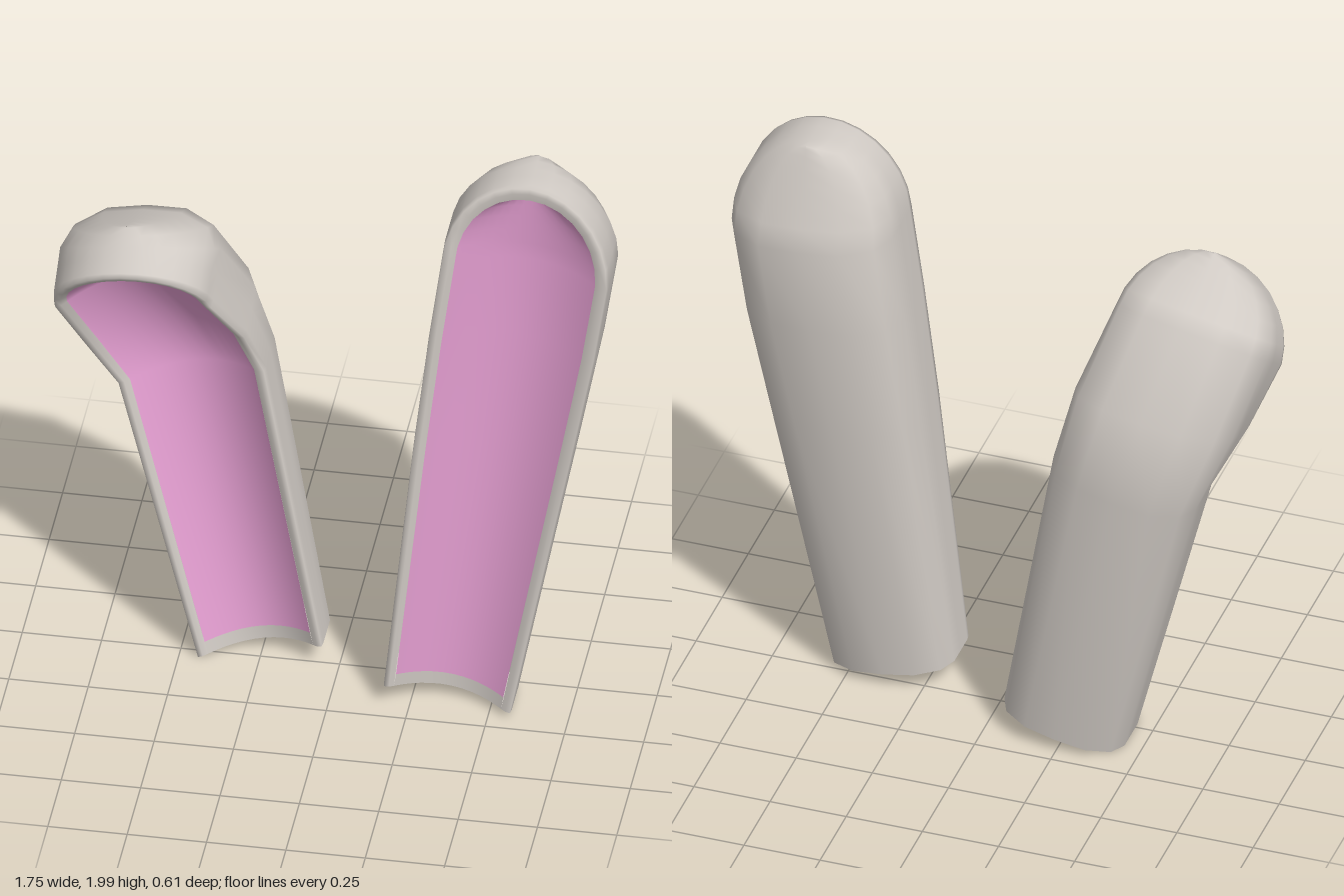
import * as THREE from 'three';
import { mergeVertices } from 'three/addons/utils/BufferGeometryUtils.js';

const V = (x, y, z) => new THREE.Vector3(x, y, z);
const fur = new THREE.MeshStandardMaterial({ color: 0xd0cac4, side: THREE.DoubleSide });
const pink = new THREE.MeshStandardMaterial({ color: 0xe59fd2, side: THREE.DoubleSide });

// Outer cross-section: [across, depth, inset at the tip], rim to back to rim
const half = [[0.84, 0.05, 1], [0.91, 0.01, 0.5], [0.985, 0, 0.1], [1, 0.08, 0], [1, 0.35, 0],
  [1, 0.58, 0], [0.87, 0.81, 0], [0.5, 0.97, 0]];
const shellProfile = [...half, [0, 1, 0], ...half.slice().reverse().map(([s, t, k]) => [-s, t, k])];

// Shallow concave inner cross-section with the same number of points
const n = shellProfile.length;
const floorProfile = Array.from({ length: n }, (_, i) => {
  const a = Math.PI * i / (n - 1);
  return [-0.84 * Math.cos(a), 0.05 + 0.26 * Math.sin(a) ** 2, 1];
});

// Smooth surface through rows of points, welded where the tip closes
function loft(rows) {
  const m = rows[0].length, index = [];
  for (let i = 0; i < rows.length - 1; i++) {
    for (let j = 0; j < m - 1; j++) {
      const a = i * m + j, b = a + 1, c = a + m, d = c + 1;
      index.push(a, b, c, b, d, c);
    }
  }
  const flat = new THREE.BufferGeometry().setFromPoints(rows.flat());
  flat.setIndex(index);
  const geo = mergeVertices(flat);
  geo.computeVertexNormals();
  return geo;
}

// sections: [right rim point, left rim point, vector to the back]; tip: rise vector and its back vector
function makeEar(name, sections, rise, tipBack) {
  const rows = sections.map(([r, l, back]) => ({
    c: r.clone().add(l).multiplyScalar(0.5),
    a: l.clone().sub(r).multiplyScalar(0.5),
    b: back, shift: V(0, 0, 0),
  }));

  // Rounded tip above the last section
  const last = rows[rows.length - 1], steps = 7;
  const inset = rise.clone().normalize().multiplyScalar(-0.05);
  for (let i = 1; i <= steps; i++) {
    const th = Math.PI / 2 * i / steps, sin = Math.sin(th);
    rows.push({
      c: last.c.clone().addScaledVector(rise, sin),
      a: last.a.clone().multiplyScalar(Math.cos(th)),
      b: last.b.clone().lerp(tipBack, sin),
      shift: inset.clone().multiplyScalar(sin),
    });
  }

  const curve = (row, profile) => profile.map(([s, t, k]) => row.c.clone()
    .addScaledVector(row.a, s).addScaledVector(row.b, t).addScaledVector(row.shift, k));

  const shellRows = rows.map(r => curve(r, shellProfile));
  const floorRows = rows.map(r => curve(r, floorProfile));
  const bottomEdge = floorRows[0];
  const up = rows[1].c.clone().sub(rows[0].c).normalize().multiplyScalar(0.045);
  floorRows[0] = bottomEdge.map(p => p.clone().add(up));

  const ear = new THREE.Group();
  ear.name = name;
  const add = (part, surface, material) => {
    const mesh = new THREE.Mesh(loft(surface), material);
    mesh.name = part;
    ear.add(mesh);
  };
  add('earShell', shellRows, fur);
  add('innerEar', floorRows, pink);
  add('earBase', [bottomEdge.slice().reverse(), shellRows[0]], fur);
  add('baseLip', [bottomEdge, floorRows[0]], fur);
  return ear;
}

export function createModel() {
  const model = new THREE.Group();
  model.name = 'ears';

  // Upright ear
  model.add(makeEar('leftEar', [
    [V(0.17, 0.085, 0.197), V(0.572, 0.028, 0.197), V(0, 0, -0.247)],
    [V(0.26, 1.0, 0.18), V(0.755, 0.98, 0.18), V(0, 0, -0.315)],
    [V(0.305, 1.4, 0.17), V(0.83, 1.38, 0.17), V(0, 0, -0.343)],
    [V(0.345, 1.7, 0.165), V(0.872, 1.66, 0.165), V(0, 0, -0.34)],
  ], V(0.013, 0.32, -0.035), V(0, 0, -0.18)));

  // Ear folded forward near the top
  model.add(makeEar('rightEar', [
    [V(-0.443, 0.008, 0.038), V(-0.048, 0.097, 0.038), V(0, 0, -0.245)],
    [V(-0.70, 1.0, 0.0), V(-0.235, 1.1, 0.0), V(0, 0.01, -0.305)],
    [V(-0.80, 1.19, 0.06), V(-0.285, 1.27, 0.065), V(0, 0.11, -0.31)],
    [V(-0.875, 1.38, 0.15), V(-0.37, 1.46, 0.185), V(0, 0.2, -0.27)],
  ], V(-0.02, 0.21, 0.14), V(0, 0.105, -0.13)));

  return model;
}
